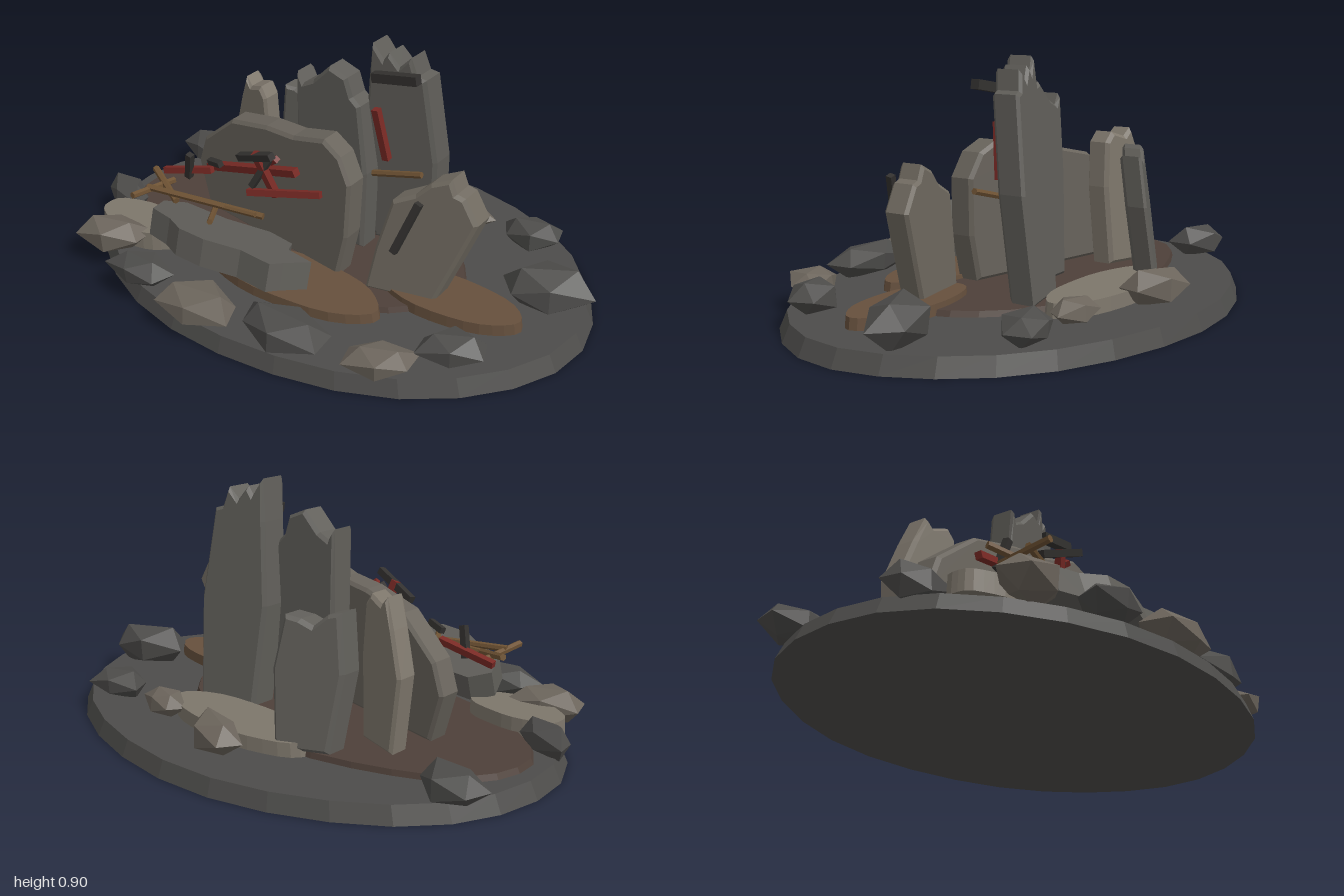
import * as THREE from 'three';

const STONE = 0x5f5d58, DARK = 0x4d4c4a, PALE = 0x7d766b, EARTH = 0x4e4039, CLAY = 0x66503d;
const RED = 0x7a2a25, WOOD = 0x6e5233, IRON = 0x33312f;

const material = (color, side = THREE.FrontSide) =>
  new THREE.MeshStandardMaterial({ color, flatShading: true, side });

function add(group, name, geometry, color) {
  const mesh = new THREE.Mesh(geometry, material(color));
  mesh.name = name;
  group.add(mesh);
  return mesh;
}

// Moves every vertex by a rule, then rebuilds the normals
function reshape(geometry, rule) {
  const p = geometry.attributes.position, v = new THREE.Vector3();
  for (let i = 0; i < p.count; i++) {
    rule(v.fromBufferAttribute(p, i));
    p.setXYZ(i, v.x, v.y, v.z);
  }
  geometry.computeVertexNormals();
  return geometry;
}

// Flat, slightly wavy elliptical disc
function disc(x, z, rx, rz, y0, y1, taper, wave) {
  const g = new THREE.CylinderGeometry(taper, 1, y1 - y0, 28);
  return reshape(g, (v) => {
    const a = Math.atan2(v.z, v.x);
    const w = 1 + wave * (Math.sin(3 * a + x * 5) + 0.6 * Math.sin(7 * a + 1));
    v.set(x + v.x * rx * w, v.y + (y0 + y1) / 2, z + v.z * rz * w);
  });
}

const outline = (pts) => new THREE.Shape(pts.map(([x, y]) => new THREE.Vector2(x, y)));

// Standing slab: front outline, pushed along z by its turn (per x) and lean (per y)
function slab(pts, z, thickness, turn, lean) {
  const bevel = 0.012;
  const g = new THREE.ExtrudeGeometry(outline(pts), {
    depth: thickness - 2 * bevel, bevelEnabled: true, bevelSegments: 1,
    bevelSize: bevel, bevelThickness: bevel, bevelOffset: -bevel,
  });
  const xs = pts.map((p) => p[0]);
  const mid = (Math.min(...xs) + Math.max(...xs)) / 2;
  return reshape(g, (v) => {
    v.z += z - thickness / 2 + bevel + turn * (v.x - mid) + lean * (v.y - 0.4);
  });
}

// Angular boulder with uneven corners
function boulder(x, z, rx, rz, height, seed, turn) {
  const g = new THREE.IcosahedronGeometry(1, 0);
  const c = Math.cos(turn), s = Math.sin(turn);
  return reshape(g, (v) => {
    const k = 1 + 0.13 * Math.sin(v.x * 5 + v.y * 7 + v.z * 9 + seed);
    const px = v.x * k * rx * 1.1, pz = v.z * k * rz * 1.1;
    v.set(x + px * c + pz * s, 0.05 + height / 2 + v.y * k * height * 0.53, z - px * s + pz * c);
  });
}

// Bar between two points
function bar(group, name, a, b, width, color, round) {
  const from = new THREE.Vector3(...a), to = new THREE.Vector3(...b);
  const length = from.distanceTo(to);
  const g = round ? new THREE.CylinderGeometry(width / 2, width / 2, length, 6)
    : new THREE.BoxGeometry(width, length, width);
  const mesh = add(group, name, g, color);
  mesh.position.copy(from).add(to).multiplyScalar(0.5);
  mesh.quaternion.setFromUnitVectors(new THREE.Vector3(0, 1, 0), to.sub(from).normalize());
}

export function createModel() {
  const model = new THREE.Group();
  model.name = 'ruinedStones';

  // Ground and patches of soil
  add(model, 'base', disc(0, -0.02, 0.995, 0.72, 0, 0.06, 0.97, 0.006), DARK);
  add(model, 'earthPatch', disc(-0.18, 0, 0.73, 0.39, 0.05, 0.08, 0.98, 0.015), EARTH);
  add(model, 'frontClayPatch', disc(0.02, 0.29, 0.36, 0.14, 0.06, 0.095, 0.98, 0.02), CLAY);
  add(model, 'sideClayPatch', disc(0.53, 0.08, 0.28, 0.12, 0.06, 0.1, 0.98, 0.015), CLAY);
  add(model, 'backPalePatch', disc(0, -0.37, 0.33, 0.12, 0.06, 0.11, 0.98, 0.02), PALE);
  add(model, 'leftPalePatch', disc(-0.67, 0.33, 0.19, 0.1, 0.06, 0.13, 0.98, 0.03), PALE);

  // Standing broken slabs
  const slabs = [
    ['tallSlab', [[0.09, 0.08], [0.07, 0.45], [0.1, 0.75], [0.12, 0.9], [0.155, 0.84], [0.175, 0.87],
      [0.21, 0.82], [0.25, 0.86], [0.27, 0.79], [0.3, 0.78], [0.33, 0.45], [0.31, 0.08]], -0.17, 0.11, -0.28, 0.11],
    ['middleSlab', [[-0.15, 0.08], [-0.17, 0.45], [-0.155, 0.75], [-0.13, 0.71], [-0.09, 0.73], [-0.02, 0.8],
      [0.05, 0.77], [0.07, 0.7], [0.1, 0.67], [0.12, 0.4], [0.1, 0.08]], -0.05, 0.1, -0.06, 0.05],
    ['wideSlab', [[-0.57, 0.08], [-0.63, 0.26], [-0.59, 0.37], [-0.43, 0.5], [-0.24, 0.54], [-0.1, 0.55],
      [0.05, 0.59], [0.13, 0.55], [0.18, 0.46], [0.17, 0.25], [0.13, 0.08]], 0.06, 0.1, 0.18, -0.03],
    ['leftSlab', [[-0.55, 0.08], [-0.58, 0.35], [-0.53, 0.5], [-0.49, 0.6], [-0.46, 0.57], [-0.4, 0.59],
      [-0.37, 0.55], [-0.36, 0.38], [-0.38, 0.08]], -0.14, 0.09, 0.3, 0.03],
    ['backSlab', [[-0.4, 0.08], [-0.42, 0.35], [-0.39, 0.55], [-0.35, 0.54], [-0.31, 0.5], [-0.27, 0.52],
      [-0.22, 0.53], [-0.2, 0.35], [-0.23, 0.08]], -0.31, 0.09, -0.5, 0.15],
    ['rightSlab', [[0.25, 0.08], [0.28, 0.25], [0.33, 0.44], [0.41, 0.48], [0.46, 0.53], [0.53, 0.56],
      [0.55, 0.51], [0.58, 0.5], [0.63, 0.41], [0.56, 0.23], [0.5, 0.08]], 0.08, 0.1, -0.2, -0.06],
  ];
  const tints = { leftSlab: PALE, rightSlab: 0x716b61, wideSlab: 0x69645c };
  for (const [name, pts, ...rest] of slabs) add(model, name, slab(pts, ...rest), tints[name] ?? STONE);

  // Fallen slab, rising toward the front
  const fallen = new THREE.ExtrudeGeometry(outline([[-0.56, -0.33], [-0.5, -0.27], [-0.3, -0.28], [-0.12, -0.25],
    [0, -0.28], [0.03, -0.34], [0.15, -0.37], [0.1, -0.46], [0.08, -0.51], [-0.06, -0.49], [-0.2, -0.52],
    [-0.32, -0.51], [-0.41, -0.46], [-0.52, -0.43]].reverse()), { depth: 0.095, bevelEnabled: false });
  reshape(fallen, (v) => {
    const z = -v.y;
    v.set(v.x, 0.115 + v.z + (z - 0.26) * 0.29, z + 0.02 - v.z * 0.3);
  });
  add(model, 'fallenSlab', fallen, STONE);

  // Ring of boulders: x, z, half width, half depth, height, turn
  const boulders = [
    [-0.06, -0.54, 0.13, 0.075, 0.13, -0.4], [0.32, -0.45, 0.1, 0.06, 0.1, -0.3], [0.59, -0.45, 0.11, 0.08, 0.11, 0.3],
    [0.81, -0.12, 0.15, 0.1, 0.15, 0.5], [0.7, 0.35, 0.115, 0.08, 0.12, 0.4], [0.53, 0.52, 0.12, 0.085, 0.1, 0.4],
    [0.19, 0.57, 0.17, 0.095, 0.12, 0], [-0.14, 0.63, 0.155, 0.095, 0.12, 0.1], [-0.45, 0.58, 0.125, 0.08, 0.12, -0.1],
    [-0.7, 0.46, 0.14, 0.09, 0.13, 0.3], [-0.87, 0.2, 0.105, 0.06, 0.12, -0.2], [-0.86, -0.29, 0.12, 0.085, 0.12, -0.2],
  ];
  boulders.forEach(([x, z, rx, rz, h, turn], i) =>
    add(model, 'boulder', boulder(x, z, rx, rz, h, i * 1.7, turn), [0, 1, 5, 7, 9].includes(i) ? 0x6c655c : DARK));

  // Scattered iron rods and wooden beams
  const debris = new THREE.Group();
  debris.name = 'debris';
  model.add(debris);
  const bars = [
    ['redBeam', [-0.5, 0.31, 0.12], [-0.03, 0.46, 0.2], 0.028, RED],
    ['redBeam', [-0.63, 0.3, 0.23], [-0.42, 0.35, 0.2], 0.024, RED],
    ['redBeam', [-0.22, 0.34, 0.24], [0.06, 0.39, 0.18], 0.024, RED],
    ['redBeam', [-0.18, 0.51, 0.24], [-0.13, 0.33, 0.19], 0.026, RED],
    ['redBeam', [-0.2, 0.42, 0.14], [-0.1, 0.5, 0.22], 0.02, RED],
    ['redBeam', [0.155, 0.67, -0.02], [0.185, 0.47, -0.05], 0.026, RED],
    ['ironRod', [-0.27, 0.46, 0.22], [-0.09, 0.53, 0.26], 0.026, IRON],
    ['ironRod', [-0.2, 0.37, 0.24], [-0.13, 0.5, 0.21], 0.022, IRON],
    ['ironRod', [-0.43, 0.385, 0.2], [-0.36, 0.4, 0.22], 0.022, IRON],
    ['ironRod', [-0.52, 0.3, 0.22], [-0.49, 0.41, 0.24], 0.024, IRON],
    ['ironRod', [0.13, 0.78, -0.04], [0.31, 0.81, -0.04], 0.034, IRON],
    ['ironRod', [0.4, 0.31, 0.24], [0.47, 0.5, 0.2], 0.024, IRON],
    ['woodBeam', [-0.58, 0.31, 0.38], [-0.12, 0.29, 0.28], 0.024, WOOD, true],
    ['woodBeam', [-0.5, 0.29, 0.34], [-0.14, 0.3, 0.3], 0.02, WOOD, true],
    ['woodBeam', [-0.56, 0.29, 0.26], [-0.58, 0.31, 0.46], 0.026, WOOD, true],
    ['woodBeam', [-0.64, 0.32, 0.27], [-0.46, 0.28, 0.36], 0.026, WOOD, true],
    ['woodBeam', [-0.33, 0.27, 0.29], [-0.24, 0.3, 0.43], 0.022, WOOD, true],
    ['woodBeam', [0.13, 0.4, -0.045], [0.33, 0.45, -0.05], 0.024, WOOD, true],
  ];
  for (const args of bars) bar(debris, ...args);
  return model;
}
